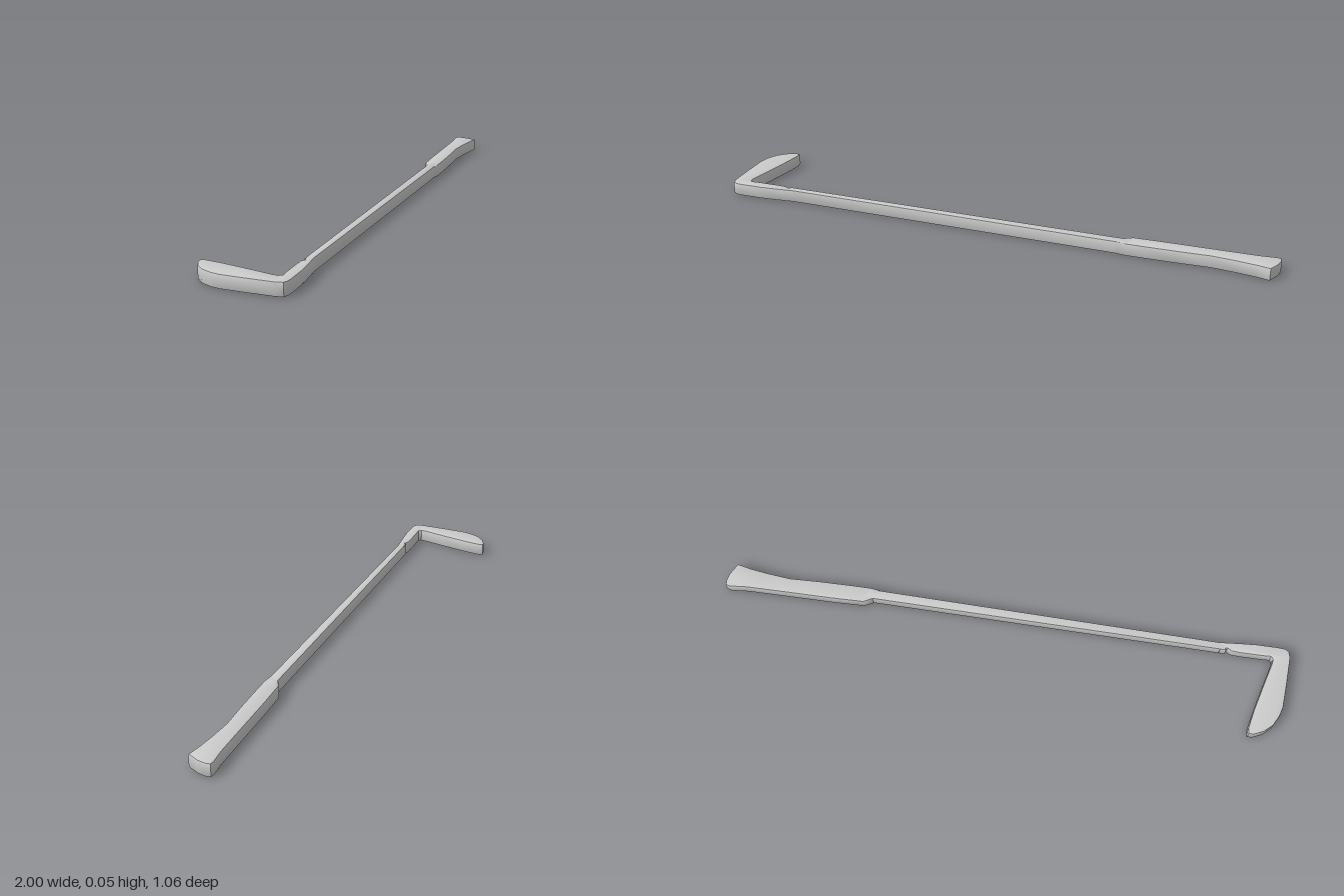
import * as THREE from 'three';
import { toCreasedNormals } from 'three/addons/utils/BufferGeometryUtils.js';

const HEIGHT = 0.05;
const BEVEL = 0.005;

// Flat slab from an outline of [x, z] points, lying on y = 0 with softened rims
function slab(name, outline, material) {
  const shape = new THREE.Shape(outline.map(([x, z]) => new THREE.Vector2(x, z)));
  const geometry = new THREE.ExtrudeGeometry(shape, {
    depth: HEIGHT - 2 * BEVEL,
    bevelThickness: BEVEL,
    bevelSize: BEVEL,
    bevelOffset: -BEVEL,
    bevelSegments: 2,
  });
  geometry.rotateX(Math.PI / 2);
  geometry.translate(0, HEIGHT - BEVEL, 0);
  const mesh = new THREE.Mesh(toCreasedNormals(geometry, 0.7), material);
  mesh.name = name;
  return mesh;
}

export function createModel() {
  const group = new THREE.Group();
  group.name = 'club';
  const material = new THREE.MeshStandardMaterial({ color: 0xcccccc });

  // Head blade with the heel and the thicker neck that joins the shaft
  group.add(slab('head', [
    [-0.66, 0.397], [-0.72, 0.437], [-0.78, 0.475], [-0.85, 0.513], [-0.875, 0.524],
    [-0.893, 0.524], [-0.91, 0.505], [-0.955, 0.41], [-0.993, 0.325], [-1, 0.29],
    [-1, 0.245], [-0.985, 0.205], [-0.962, 0.175], [-0.945, 0.165], [-0.932, 0.182],
    [-0.912, 0.25], [-0.888, 0.35], [-0.868, 0.44], [-0.861, 0.46], [-0.85, 0.466],
    [-0.82, 0.448], [-0.75, 0.41], [-0.72, 0.396], [-0.7, 0.396], [-0.68, 0.375],
  ], material));

  // Long straight shaft
  group.add(slab('shaft', [
    [0.53, -0.262], [0.53, -0.22], [-0.68, 0.408], [-0.7, 0.387],
  ], material));

  // Grip, stepping out from the shaft and flaring to the butt end
  group.add(slab('grip', [
    [0.495, -0.245], [0.515, -0.275], [0.62, -0.335], [0.77, -0.417], [0.91, -0.494],
    [0.965, -0.53], [0.982, -0.535], [0.992, -0.52], [1, -0.49], [1, -0.442],
    [0.95, -0.427], [0.885, -0.403], [0.8, -0.367], [0.7, -0.308], [0.6, -0.252],
    [0.53, -0.214], [0.495, -0.2],
  ], material));

  return group;
}
